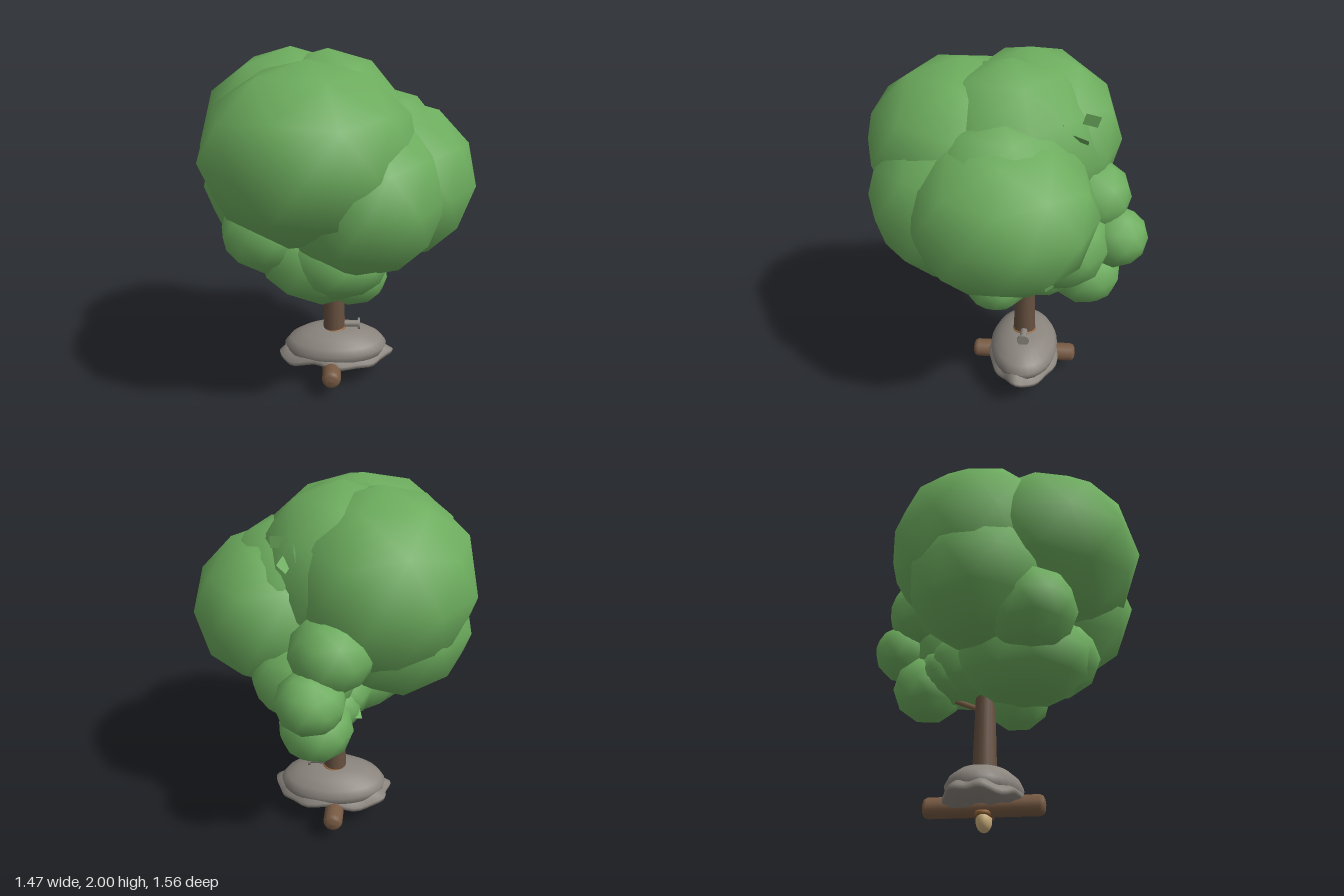
import * as THREE from 'three';

const mat = (color, extra = {}) => new THREE.MeshStandardMaterial({ color, ...extra });

export function createModel() {
  const model = new THREE.Group();
  const green = mat(0x6dad5e), bark = mat(0x66503f), stone = mat(0x8a847d);
  const wood = mat(0x775a43), tan = mat(0xc8ac7a), rope = mat(0x94663a);
  const leafGreen = mat(0x6dad5e, { side: THREE.DoubleSide });
  const cx = -0.02, cz = -0.11; // trunk axis

  const add = (name, geo, material, p = [0, 0, 0], r = [0, 0, 0], s = [1, 1, 1]) => {
    const m = new THREE.Mesh(geo, material);
    m.name = name;
    m.position.set(...p);
    m.rotation.set(...r);
    m.scale.set(...s);
    model.add(m);
  };

  // Foliage: coarse, smooth-shaded balls with a vertex at each pole
  const ball = new THREE.IcosahedronGeometry(1, 1).rotateZ(-0.5536);
  const clumps = [ // centre, radii, turn
    [-0.14, 1.5, 0.24, 0.57, 0.475, 0.54, 0], // upper front
    [-0.25, 1.5, -0.11, 0.51, 0.5, 0.51, 0], // upper back
    [0.3, 1.31, 0.0, 0.455, 0.44, 0.5, 0], // left side
    [0.13, 1.3, 0.2, 0.45, 0.45, 0.53, 0], // middle front
    [-0.05, 1.51, -0.02, 0.46, 0.49, 0.49, 0.3], // core
    [0.23, 1.38, 0.0, 0.39, 0.43, 0.44, 0.3], // left shoulder
    [-0.36, 1.07, 0.17, 0.27, 0.24, 0.26, 0.2],
    [-0.33, 1.27, -0.08, 0.42, 0.4, 0.41, 0],
    [0.01, 0.95, 0.27, 0.28, 0.22, 0.26, 0.1],
    [-0.08, 0.92, 0.11, 0.36, 0.275, 0.38, 0.3],
    [0.09, 0.76, 0.05, 0.2, 0.185, 0.19, 0],
    [0.05, 0.93, -0.18, 0.3, 0.23, 0.29, 0.3],
    [0.02, 0.88, -0.31, 0.21, 0.17, 0.2, 0.5],
    [0.12, 1.06, -0.29, 0.3, 0.27, 0.28, 0.3],
    [0.06, 1.06, -0.6, 0.18, 0.17, 0.18, 0.6],
    [0.05, 0.82, -0.45, 0.2, 0.19, 0.2, 0.2],
    [-0.03, 1.26, -0.46, 0.22, 0.21, 0.22, 0],
  ];
  clumps.forEach(([x, y, z, a, b, c, t], i) =>
    add(`foliage${i + 1}`, ball, green, [x, y, z], [0, t, 0], [a, b, c]));

  // Loose leaf cards
  const leaf = new THREE.PlaneGeometry(0.08, 0.06);
  [[0.24, 1.76, -0.29], [0.2, 1.68, -0.38], [0.14, 1.76, -0.43],
    [-0.1, 0.79, -0.38], [-0.15, 0.86, -0.36], [0.34, 0.92, -0.25]]
    .forEach((p, i) => add(`leaf${i + 1}`, leaf, leafGreen, p, [i * 1.1, i * 0.7, i * 1.9]));

  // Trunk and a thin back branch
  add('trunk', new THREE.CylinderGeometry(0.045, 0.068, 0.8, 16), bark, [cx, 0.65, cz]);
  const branchPath = new THREE.CatmullRomCurve3([
    new THREE.Vector3(cx, 0.65, cz), new THREE.Vector3(0.0, 0.71, -0.24), new THREE.Vector3(0.05, 0.82, -0.45)]);
  add('branch', new THREE.TubeGeometry(branchPath, 8, 0.015, 8), wood);

  // Stone dome
  const profile = [[0, 0.33], [0.12, 0.325], [0.21, 0.3], [0.28, 0.26], [0.31, 0.22],
    [0.3, 0.18], [0.26, 0.15], [0, 0.14]].map(([r, y]) => new THREE.Vector2(r, y)).reverse();
  add('stoneDome', new THREE.LatheGeometry(profile, 32), stone, [-0.01, 0, cz], [0, 0, 0], [1, 1, 0.66]);

  // Ragged skirt around the dome, waved by angle
  const rim = [[0.1, 0.13], [0.25, 0.125], [0.335, 0.145], [0.34, 0.17], [0.29, 0.205], [0.2, 0.23]]
    .map(([r, y]) => new THREE.Vector2(r, y));
  const skirt = new THREE.LatheGeometry(rim, 48);
  const pos = skirt.attributes.position;
  for (let i = 0; i < pos.count; i++) {
    const x = pos.getX(i), z = pos.getZ(i), a = Math.atan2(z, x);
    const k = Math.hypot(x, z) / 0.33;
    const w = 1 + 0.035 * k * Math.sin(5 * a + 1) + 0.025 * k * Math.sin(9 * a);
    pos.setXYZ(i, x * w, pos.getY(i) + k * (0.012 * Math.sin(4 * a + 0.6) + 0.008 * Math.sin(7 * a)), z * w);
  }
  skirt.computeVertexNormals();
  add('stoneSkirt', skirt, mat(0x8a847d, { side: THREE.DoubleSide }), [-0.015, 0, cz], [0, 0, 0], [1, 1, 0.62]);

  // Log running front to back, with rounded ends
  const logProfile = [[0, -0.32], [0.03, -0.316], [0.047, -0.308], [0.055, -0.29],
    [0.055, 0.29], [0.047, 0.308], [0.03, 0.316], [0, 0.32]].map(([r, y]) => new THREE.Vector2(r, y));
  add('log', new THREE.LatheGeometry(logProfile, 20), wood, [-0.033, 0.13, cz], [Math.PI / 2, 0, 0]);

  // Ball underneath
  add('bottomBall', new THREE.SphereGeometry(0.056, 20, 14), tan, [cx, 0.058, cz], [0, 0, 0], [1, 1.03, 0.75]);

  // Rope rings around the trunk and below the log
  for (const side of [-1, 1]) {
    add('trunkRope', new THREE.TorusGeometry(0.064, 0.009, 8, 28), rope,
      [cx, 0.313 + side * 0.008, cz], [Math.PI / 2, 0.08 * side, 0]);
    add('bottomRope', new THREE.TorusGeometry(0.064, 0.011, 8, 28), rope,
      [cx, 0.093 + side * 0.008, cz], [Math.PI / 2, 0.12 * side, 0], [1.1, 0.7, 1]);
  }

  // Side peg with a flared cap
  add('peg', new THREE.CylinderGeometry(0.021, 0.021, 0.12, 16), stone, [0.07, 0.345, cz], [0, 0, Math.PI / 2]);
  add('pegCap', new THREE.CylinderGeometry(0.036, 0.036, 0.014, 20), stone, [0.131, 0.345, cz], [0, 0, Math.PI / 2]);

  return model;
}
